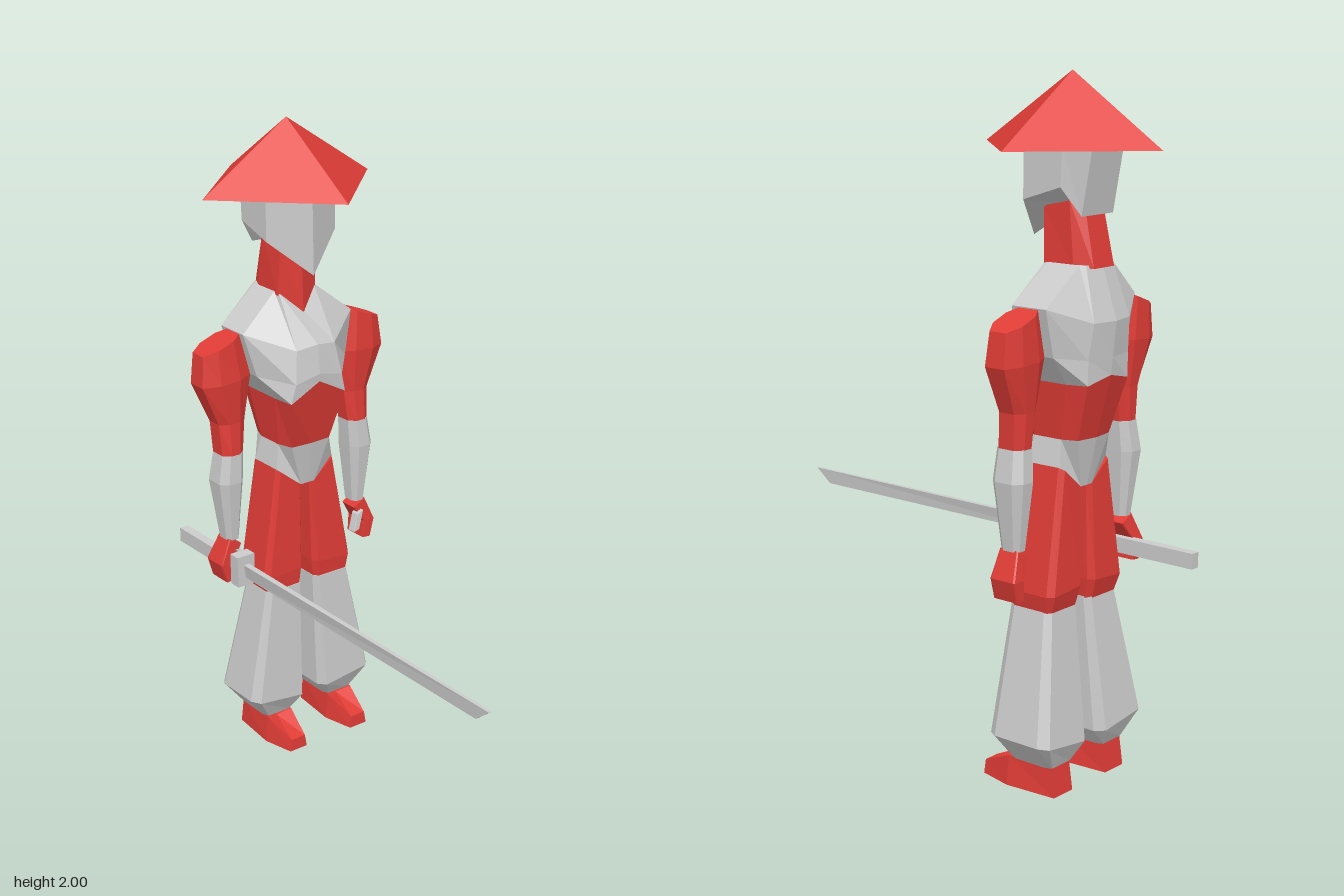
import * as THREE from 'three';

const grey = new THREE.MeshStandardMaterial({ color: 0xcccccc, flatShading: true });
const red = new THREE.MeshStandardMaterial({ color: 0xe03c36, flatShading: true });

// Closed faceted skin over rings listed from top to bottom;
// every ring runs from the chest side (+x) round through +z.
function loft(rings, side = 1) {
  const R = rings.map(r => (side < 0 ? r.map(([x, y, z]) => [x, y, -z]).reverse() : r));
  const pos = [], n = R[0].length;
  const tri = (a, b, c) => pos.push(...a, ...b, ...c);
  const mid = r => [0, 1, 2].map(k => r.reduce((s, p) => s + p[k], 0) / n);
  const top = mid(R[0]), last = R[R.length - 1], bottom = mid(last);
  for (let j = 0; j < n; j++) {
    const k = (j + 1) % n;
    for (let i = 0; i < R.length - 1; i++) {
      tri(R[i][j], R[i][k], R[i + 1][j]);
      tri(R[i][k], R[i + 1][k], R[i + 1][j]);
    }
    tri(top, R[0][k], R[0][j]);
    tri(bottom, last[j], last[k]);
  }
  const g = new THREE.BufferGeometry();
  g.setAttribute('position', new THREE.Float32BufferAttribute(pos, 3));
  g.computeVertexNormals();
  return g;
}

// Box section with cut corners; inner and outer edge may differ in height.
function limbRing([yi, yo, b, f, zi, zo], kx, kz) {
  const cx = (f - b) * kx, cz = (zo - zi) * kz;
  const p = (x, z) => [x, yi + (yo - yi) * (z - zi) / (zo - zi), z];
  return [p(f, zi + cz), p(f, zo - cz), p(f - cx, zo), p(b + cx, zo),
    p(b, zo - cz), p(b, zi + cz), p(b + cx, zi), p(f - cx, zi)];
}
const limb = (sections, side, kx, kz) => loft(sections.map(s => limbRing(s, kx, kz)), side);

// Full ring from a half outline whose ends lie on z = 0
const whole = half => [...half, ...half.slice(1, -1).reverse().map(([x, y, z]) => [x, y, -z])];

export function createModel() {
  const model = new THREE.Group();
  const add = (name, geometry, material) => {
    const m = new THREE.Mesh(geometry, material);
    m.name = name;
    model.add(m);
    return m;
  };
  const box = (name, w, h, d, x, y, z, material) =>
    add(name, new THREE.BoxGeometry(w, h, d), material).position.set(x, y, z);

  // Four-sided hat
  add('hat', new THREE.ConeGeometry(0.298, 0.2, 4), red).position.set(-0.465, 1.9, 0);

  // Head with a ridged face and pointed chin
  add('head', loft([
    [[-0.34, 1.81, 0], [-0.40, 1.81, 0.125], [-0.53, 1.81, 0.125], [-0.588, 1.81, 0.07], [-0.588, 1.81, 0]],
    [[-0.34, 1.55, 0], [-0.40, 1.66, 0.125], [-0.525, 1.70, 0.125], [-0.555, 1.62, 0.07], [-0.555, 1.62, 0]],
  ].map(whole)), grey);

  // Neck
  add('neck', loft([
    [[-0.40, 1.64, 0], [-0.42, 1.64, 0.06], [-0.51, 1.66, 0.065], [-0.54, 1.66, 0.04], [-0.54, 1.66, 0]],
    [[-0.395, 1.42, 0], [-0.43, 1.48, 0.07], [-0.53, 1.48, 0.07], [-0.58, 1.48, 0.045], [-0.58, 1.48, 0]],
  ].map(whole)), red);

  // Torso, shared sections from the collar to the crotch
  const collar = [[-0.40, 1.43, 0], [-0.43, 1.49, 0.065], [-0.445, 1.49, 0.07], [-0.55, 1.49, 0.07], [-0.565, 1.49, 0.06], [-0.575, 1.49, 0]];
  const breast = [[-0.325, 1.34, 0], [-0.335, 1.33, 0.07], [-0.425, 1.385, 0.2], [-0.54, 1.385, 0.2], [-0.61, 1.34, 0.08], [-0.625, 1.34, 0]];
  const ribs = [[-0.315, 1.25, 0], [-0.32, 1.23, 0.085], [-0.41, 1.25, 0.165], [-0.54, 1.25, 0.165], [-0.60, 1.24, 0.09], [-0.615, 1.24, 0]];
  const belly = [[-0.318, 1.225, 0], [-0.325, 1.17, 0.1], [-0.40, 1.17, 0.108], [-0.54, 1.17, 0.108], [-0.60, 1.17, 0.09], [-0.61, 1.19, 0]];
  const waist = [[-0.365, 1.01, 0], [-0.37, 1.01, 0.07], [-0.42, 1.01, 0.087], [-0.51, 1.01, 0.087], [-0.555, 1.01, 0.07], [-0.565, 1.01, 0]];
  const crotch = [[-0.39, 0.87, 0], [-0.39, 0.87, 0.025], [-0.405, 0.93, 0.105], [-0.52, 0.93, 0.105], [-0.533, 0.87, 0.025], [-0.535, 0.87, 0]];
  add('chest', loft([collar, breast, ribs, belly].map(whole)), grey);
  add('abdomen', loft([belly, waist].map(whole)), red);
  add('pelvis', loft([waist, crotch].map(whole)), grey);

  for (const side of [1, -1]) {
    const s = side > 0 ? 'right' : 'left';

    // Arm
    add(s + 'UpperArm', limb([
      [1.385, 1.335, -0.53, -0.43, 0.19, 0.325],
      [1.25, 1.24, -0.535, -0.42, 0.165, 0.335],
      [1.11, 1.11, -0.52, -0.43, 0.188, 0.28],
      [1.01, 1.01, -0.515, -0.425, 0.2, 0.275],
    ], side, 0.22, 0.3), red);
    add(s + 'Forearm', limb([
      [1.01, 1.01, -0.515, -0.425, 0.2, 0.275],
      [0.92, 0.92, -0.525, -0.42, 0.205, 0.29],
      [0.725, 0.725, -0.503, -0.44, 0.22, 0.265],
    ], side, 0.22, 0.25), grey);

    // Curled hand and thumb
    add(s + 'Hand', limb([
      [0.705, 0.73, -0.503, -0.44, 0.218, 0.262],
      [0.65, 0.65, -0.52, -0.435, 0.254, 0.297],
      [0.593, 0.59, -0.518, -0.435, 0.249, 0.28],
    ], side, 0.06, 0.06), red);
    add(s + 'Thumb', limb([
      [0.685, 0.695, -0.455, -0.425, 0.222, 0.245],
      [0.63, 0.635, -0.45, -0.42, 0.203, 0.225],
    ], side, 0.05, 0.05), grey);

    // Leg
    add(s + 'Thigh', limb([
      [0.865, 0.935, -0.533, -0.393, 0.02, 0.106],
      [0.59, 0.58, -0.545, -0.385, 0.02, 0.165],
      [0.53, 0.53, -0.53, -0.39, 0.027, 0.155],
    ], side, 0.12, 0.1), red);
    add(s + 'Trouser', limb([
      [0.535, 0.535, -0.53, -0.387, 0.025, 0.155],
      [0.14, 0.165, -0.58, -0.37, 0.03, 0.23],
      [0.085, 0.085, -0.55, -0.405, 0.07, 0.168],
    ], side, 0.14, 0.1), grey);

    // Foot with a low, narrow toe
    const sole = (toe, mid, heel, w) => [
      [toe[0], toe[1], 0.12 - w[0]], [toe[0], toe[1], 0.12 + w[0]],
      [mid[0], mid[1], 0.12 + w[1]], [heel[0], heel[1], 0.12 + w[2]],
      [heel[0], heel[1], 0.12 - w[2]], [mid[0], mid[1], 0.12 - w[1]]];
    add(s + 'Foot', loft([
      sole([-0.298, 0.04], [-0.40, 0.086], [-0.55, 0.086], [0.026, 0.046, 0.038]),
      sole([-0.297, 0], [-0.40, 0], [-0.56, 0], [0.032, 0.056, 0.042]),
    ], side), red);
  }

  // Sword held level in the right hand
  box('swordHandle', 0.32, 0.046, 0.03, -0.58, 0.637, 0.24, grey);
  box('swordGuard', 0.04, 0.1, 0.062, -0.405, 0.64, 0.241, grey);
  const outline = [[-0.4, 0.615], [0.7, 0.615], [0.755, 0.66], [-0.4, 0.66]].map(p => new THREE.Vector2(...p));
  const blade = new THREE.ExtrudeGeometry(new THREE.Shape(outline), { depth: 0.02, bevelEnabled: false });
  blade.translate(0, 0, -0.01);
  const p = blade.attributes.position;
  // thin the cutting edge and the tip
  for (let i = 0; i < p.count; i++) {
    if (p.getY(i) < 0.63) p.setZ(i, p.getZ(i) * 0.25);
    else if (p.getX(i) > 0.7) p.setZ(i, p.getZ(i) * 0.5);
  }
  blade.computeVertexNormals();
  add('swordBlade', blade, grey).position.z = 0.24;

  return model;
}
